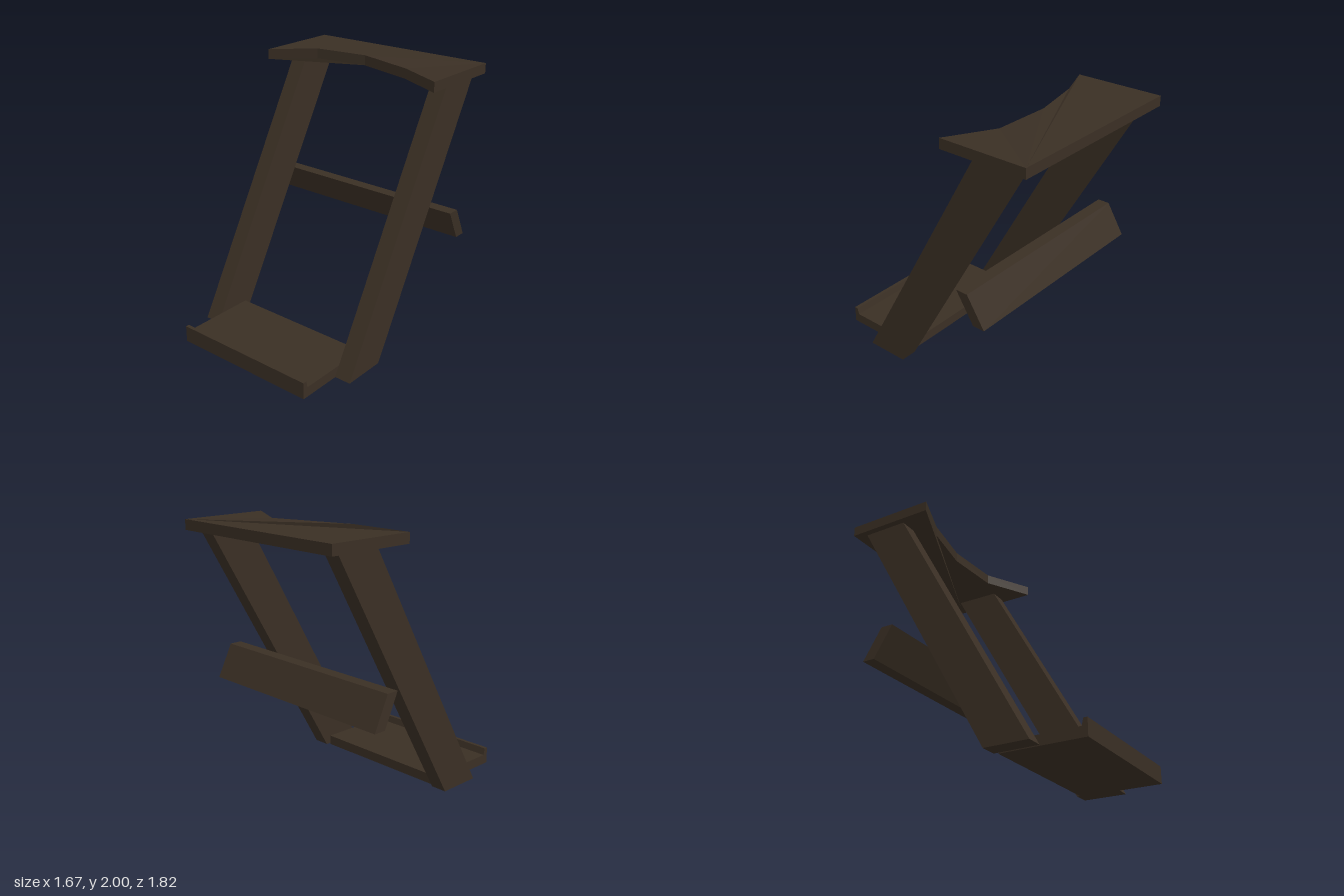
import * as THREE from 'three';

const wood = new THREE.MeshStandardMaterial({ color: 0x3a2f24 });
wood.name = 'dark wood';

const toShape = (points) => new THREE.Shape(points.map(([a, b]) => new THREE.Vector2(a, b)));

// Extrude a side profile of [z, y] points from x0 to x1
function sideExtrude(points, x0, x1) {
  const g = new THREE.ExtrudeGeometry(toShape(points.map(([z, y]) => [-z, y])), { depth: x1 - x0, bevelEnabled: false });
  return g.rotateY(Math.PI / 2).translate(x0, 0, 0);
}

// Move each vertex by a rule, then refresh the flat normals
function warp(geometry, rule) {
  const p = geometry.attributes.position;
  const v = new THREE.Vector3();
  for (let i = 0; i < p.count; i++) {
    rule(v.fromBufferAttribute(p, i));
    p.setXYZ(i, v.x, v.y, v.z);
  }
  geometry.computeVertexNormals();
  return geometry;
}

export function createModel() {
  const model = new THREE.Group();
  model.name = 'woodenFrame';
  const add = (name, geometry) => {
    const mesh = new THREE.Mesh(geometry, wood);
    mesh.name = name;
    model.add(mesh);
  };

  // Two slanted uprights
  const upright = [[0.58, 0.01], [0.25, 0.01], [-0.815, 1.895], [-0.475, 1.895]];
  add('rightUpright', sideExtrude(upright, -0.693, -0.567));
  add('leftUpright', sideExtrude(upright, 0.583, 0.71));

  // Foot shelf with a raised front lip
  const shelf = [[0.285, 0.003], [0.908, 0.003], [0.908, 0.128], [0.88, 0.128], [0.867, 0.077], [0.285, 0.077]];
  add('footShelf', sideExtrude(shelf, -0.567, 0.578));

  // Tilted back board with slightly skewed ends
  const board = [[-0.416, 0.978], [-0.508, 0.978], [-0.638, 0.743], [-0.546, 0.743]];
  add('backBoard', warp(sideExtrude(board, -0.829, 0.822), (v) => { v.x += (v.y - 0.86) * 0.06; }));

  // Top board with a hollow front edge, [x, z, lift] along that edge
  const edge = [[-0.74, -0.235, 0], [-0.385, -0.393, 0.03], [0.005, -0.468, 0.023], [0.4, -0.42, -0.003], [0.757, -0.235, 0]];
  const outline = [...edge.map(([x, z]) => [x, -z]), [0.757, 0.907], [-0.74, 0.907]];
  const top = new THREE.ExtrudeGeometry(toShape(outline), { depth: 0.075, bevelEnabled: false });
  top.rotateX(-Math.PI / 2).translate(0, 1.895, 0);
  add('topBoard', warp(top, (v) => {
    const hit = edge.find(([x, z]) => Math.abs(x - v.x) < 0.001 && Math.abs(z - v.z) < 0.001);
    if (hit) v.y += hit[2];
  }));

  return model;
}
